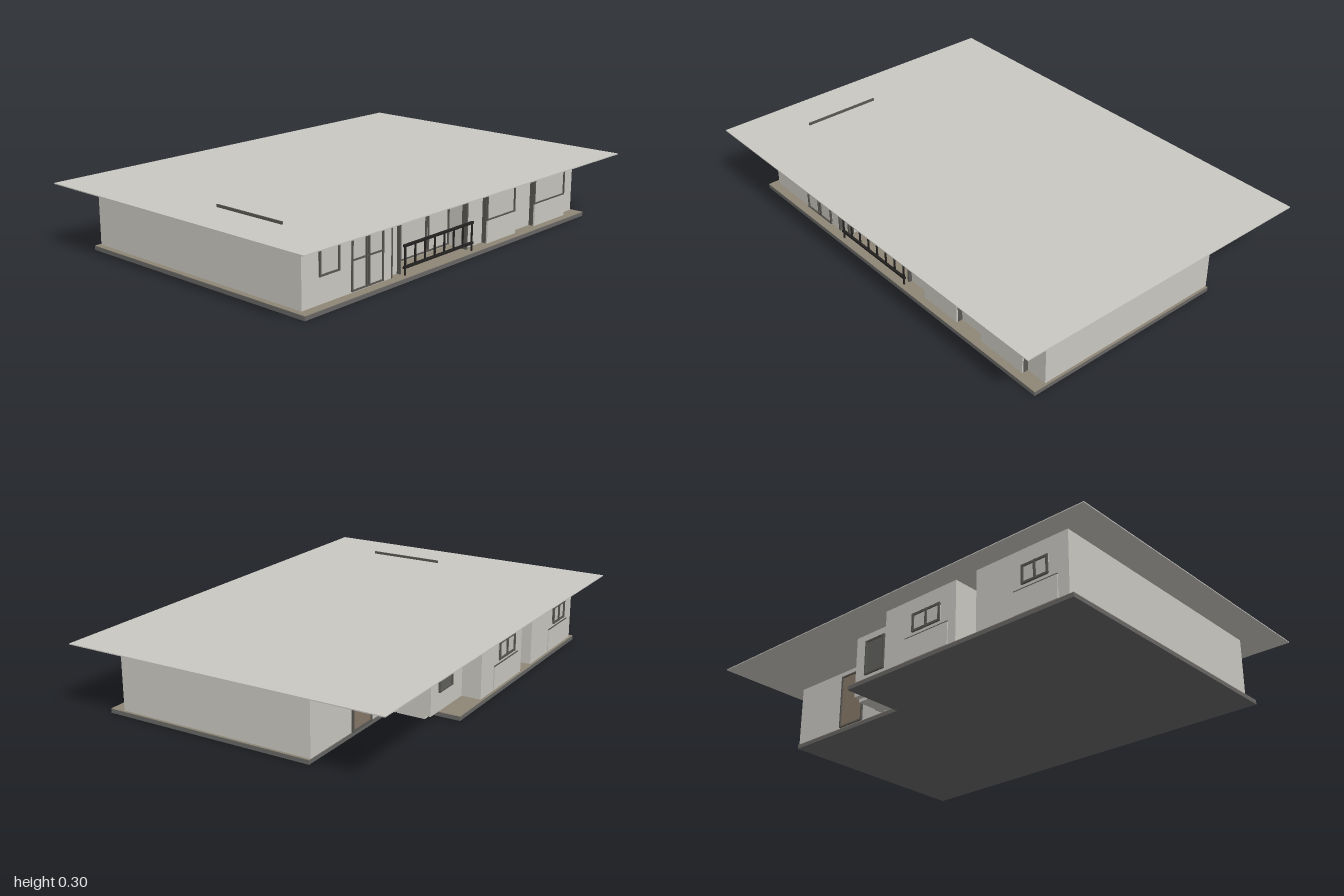
import * as THREE from 'three';

export function createModel() {
  const house = new THREE.Group();
  house.name = 'house';
  const mat = (name, color, side = THREE.FrontSide) => {
    const m = new THREE.MeshStandardMaterial({ color, side });
    m.name = name;
    return m;
  };
  const wall = mat('pale plaster', 0xcbc9c3);
  const roofMat = mat('roof sheet', 0xcac8c3, THREE.DoubleSide);
  const slabMat = mat('dark concrete', 0x686766);
  const floorMat = mat('tan paving', 0x8e8676);
  const frameMat = mat('grey frame', 0x5a5853);
  const glass = mat('pale glass', 0xc6c5be);
  const darkGlass = mat('dark glass', 0x62625f);
  const doorMat = mat('brown door', 0x877a69);
  const black = mat('black metal', 0x242322);

  // Box given by its two corners
  const box = (name, m, x0, x1, y0, y1, z0, z1, parent = house) => {
    const mesh = new THREE.Mesh(new THREE.BoxGeometry(x1 - x0, y1 - y0, z1 - z0), m);
    mesh.position.set((x0 + x1) / 2, (y0 + y1) / 2, (z0 + z1) / 2);
    mesh.name = name;
    parent.add(mesh);
    return mesh;
  };
  // Plan outline (x, z) raised from y0 to y1
  const plan = (name, m, pts, y0, y1) => {
    const shape = new THREE.Shape(pts.map(([x, z]) => new THREE.Vector2(x, -z)));
    const geo = new THREE.ExtrudeGeometry(shape, { depth: y1 - y0, bevelEnabled: false });
    geo.rotateX(-Math.PI / 2);
    const mesh = new THREE.Mesh(geo, m);
    mesh.position.y = y0;
    mesh.name = name;
    house.add(mesh);
  };

  // Ground slab with a notched back corner, and its paving
  const slab = [[-0.88, 0.59], [0.915, 0.59], [0.915, -0.345], [0.275, -0.345], [0.275, -0.62], [-0.88, -0.62]];
  plan('groundSlab', slabMat, slab, 0, 0.017);
  plan('paving', floorMat, slab, 0.017, 0.019);
  box('backStep', wall, 0.275, 0.34, 0.005, 0.019, -0.5, -0.375);

  // Outer walls with porch and back recesses
  plan('walls', wall, [
    [-0.855, 0.55], [-0.37, 0.55], [-0.37, 0.53], [-0.315, 0.53], [-0.315, 0.45], [0.11, 0.45],
    [0.11, 0.53], [0.905, 0.53], [0.905, -0.345], [0.34, -0.345], [0.34, -0.525], [0.075, -0.525],
    [0.075, -0.61], [-0.31, -0.61], [-0.31, -0.42], [-0.415, -0.42], [-0.415, -0.61], [-0.855, -0.61],
  ], 0.019, 0.29);

  // Flat roof sheet and the fin standing on it
  box('roof', roofMat, -1, 1, 0.289, 0.293, -0.705, 0.705);
  box('roofFin', frameMat, -0.798, -0.792, 0.293, 0.304, 0.05, 0.4);

  // Framed opening on a front (dir 1) or back (dir -1) wall; bars at fractions
  const opening = (name, x0, x1, y0, y1, z, dir, pane, uprights = [], rails = [], t = 0.007) => {
    const g = new THREE.Group();
    g.name = name;
    g.position.z = z;
    g.rotation.y = dir > 0 ? 0 : Math.PI;
    house.add(g);
    const [a, b] = dir > 0 ? [x0, x1] : [-x1, -x0];
    box('pane', pane, a, b, y0, y1, 0, 0.003, g);
    for (const f of [0, ...uprights, 1]) {
      const x = a + t / 2 + (b - a - t) * f;
      box('upright', frameMat, x - t / 2, x + t / 2, y0, y1, 0, 0.009, g);
    }
    for (const f of [0, ...rails, 1]) {
      const y = y0 + t / 2 + (y1 - y0 - t) * f;
      box('rail', frameMat, a, b, y - t / 2, y + t / 2, 0, 0.008, g);
    }
  };

  // Front windows and glazed double door
  opening('smallFrontWindow', -0.77, -0.665, 0.125, 0.265, 0.55, 1, glass);
  opening('gardenDoor', -0.6, -0.425, 0.025, 0.275, 0.55, 1, glass, [0.46, 0.54], [0.48], 0.006);
  box('cornerStrip', frameMat, -0.374, -0.367, 0.019, 0.289, 0.53, 0.552);
  for (const [x0, x1] of [[0.23, 0.43], [0.575, 0.81]]) {
    box('windowApron', wall, x0, x1, 0.019, 0.115, 0.53, 0.557);
    opening('frontWindow', x0, x1, 0.115, 0.272, 0.546, 1, glass, [], [0.93], 0.006);
    box('windowBay', wall, x0, x1, 0.115, 0.272, 0.53, 0.546);
    for (const x of [x0, x1]) box('bayJoint', frameMat, x - 0.002, x + 0.002, 0.019, 0.289, 0.53, 0.55);
  }

  // Porch glazing, posts and railing
  opening('porchGlazing', -0.27, 0.1, 0.025, 0.28, 0.45, 1, glass, [0.6, 0.64], [0.95], 0.006);
  for (const x of [-0.313, 0.107]) box('porchPost', frameMat, x - 0.004, x + 0.004, 0.019, 0.289, 0.52, 0.545);
  box('porchBeam', frameMat, -0.313, 0.107, 0.264, 0.272, 0.53, 0.537);
  for (const y of [0.052, 0.138]) box('handRail', black, -0.32, 0.115, y - 0.005, y + 0.005, 0.562, 0.572);
  for (let i = 0; i <= 7; i++) {
    const x = -0.312 + i * 0.06;
    const foot = i % 7 === 0 ? 0.019 : 0.05;
    box('baluster', black, x - 0.003, x + 0.003, foot, 0.142, 0.564, 0.57);
  }

  // Back doors and windows
  opening('backDoor', 0.49, 0.63, 0.02, 0.265, -0.345, -1, doorMat);
  box('backPost', wall, 0.345, 0.37, 0.019, 0.289, -0.385, -0.345);
  opening('darkBackWindow', 0.17, 0.28, 0.1, 0.255, -0.525, -1, darkGlass);
  opening('recessDoor', -0.41, -0.315, 0.02, 0.26, -0.42, -1, doorMat);
  for (const [x0, x1] of [[-0.23, -0.08], [-0.765, -0.64]]) {
    opening('backWindow', x0, x1, 0.14, 0.22, -0.61, -1, glass, [0.5], [], 0.009);
    box('backSill', frameMat, x0 - 0.04, x1 + 0.04, 0.122, 0.126, -0.614, -0.61);
    box('backApron', wall, x0 - 0.04, x1 + 0.04, 0.025, 0.122, -0.614, -0.61);
  }
  return house;
}
